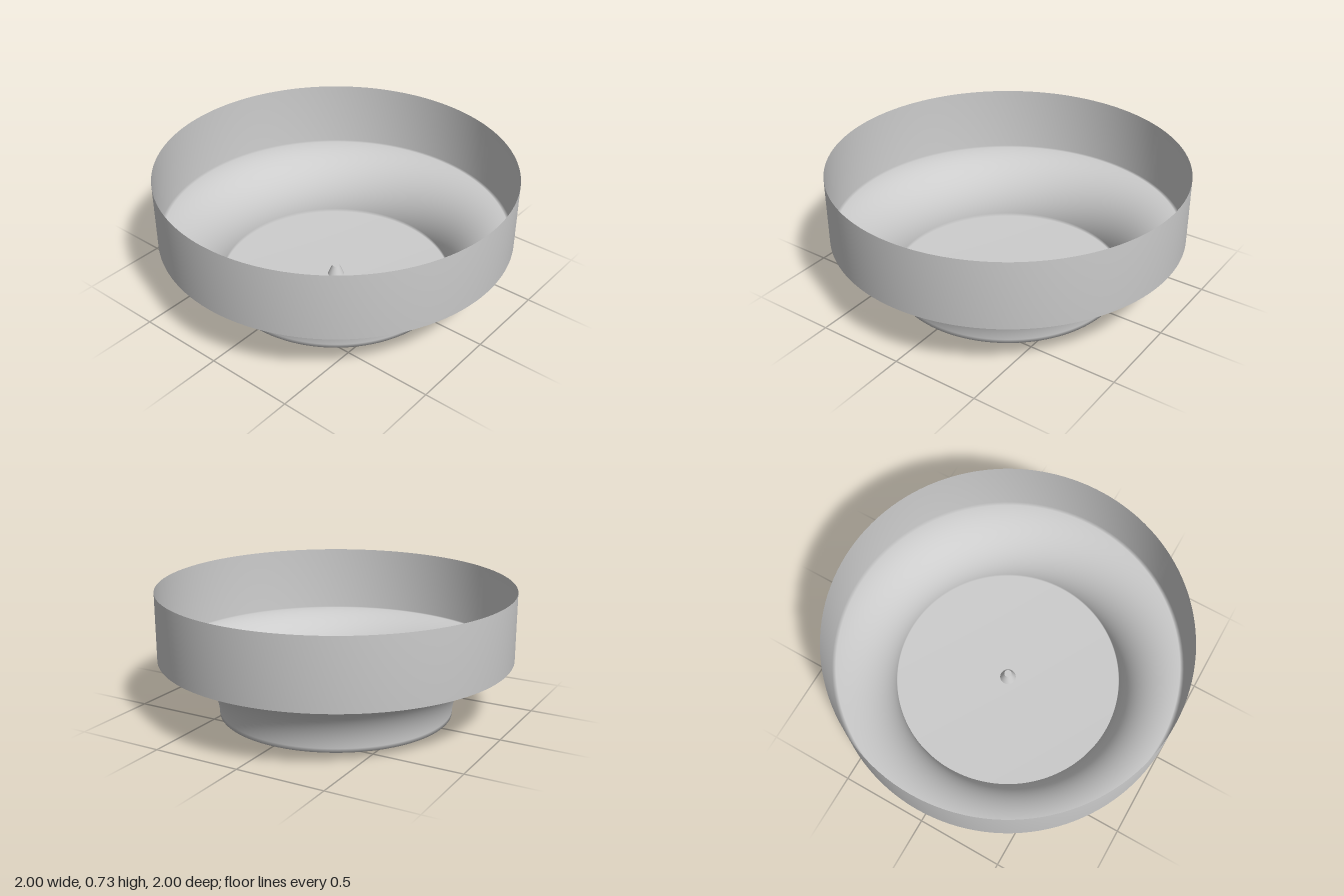
import * as THREE from 'three';

export function createModel() {
  const group = new THREE.Group();
  const grey = new THREE.MeshStandardMaterial({ color: 0xcccccc, side: THREE.DoubleSide });
  grey.name = 'light grey';

  // Thin shell: flat floor, concave quarter-round foot, straight wall
  const profile = [new THREE.Vector2(0, 0)];
  const steps = 24;
  for (let i = 0; i <= steps; i++) {
    const a = (i / steps) * Math.PI / 2;
    profile.push(new THREE.Vector2(1 - 0.335 * Math.cos(a), 0.34 * Math.sin(a)));
  }
  profile.push(new THREE.Vector2(1, 0.725));
  const bowl = new THREE.Mesh(new THREE.LatheGeometry(profile, 128), grey);
  bowl.name = 'bowl';
  group.add(bowl);

  // Small tapered knob in the middle of the floor
  const knob = new THREE.Mesh(new THREE.CylinderGeometry(0.022, 0.047, 0.06, 32), grey);
  knob.name = 'centreKnob';
  knob.position.y = 0.031;
  group.add(knob);

  return group;
}
